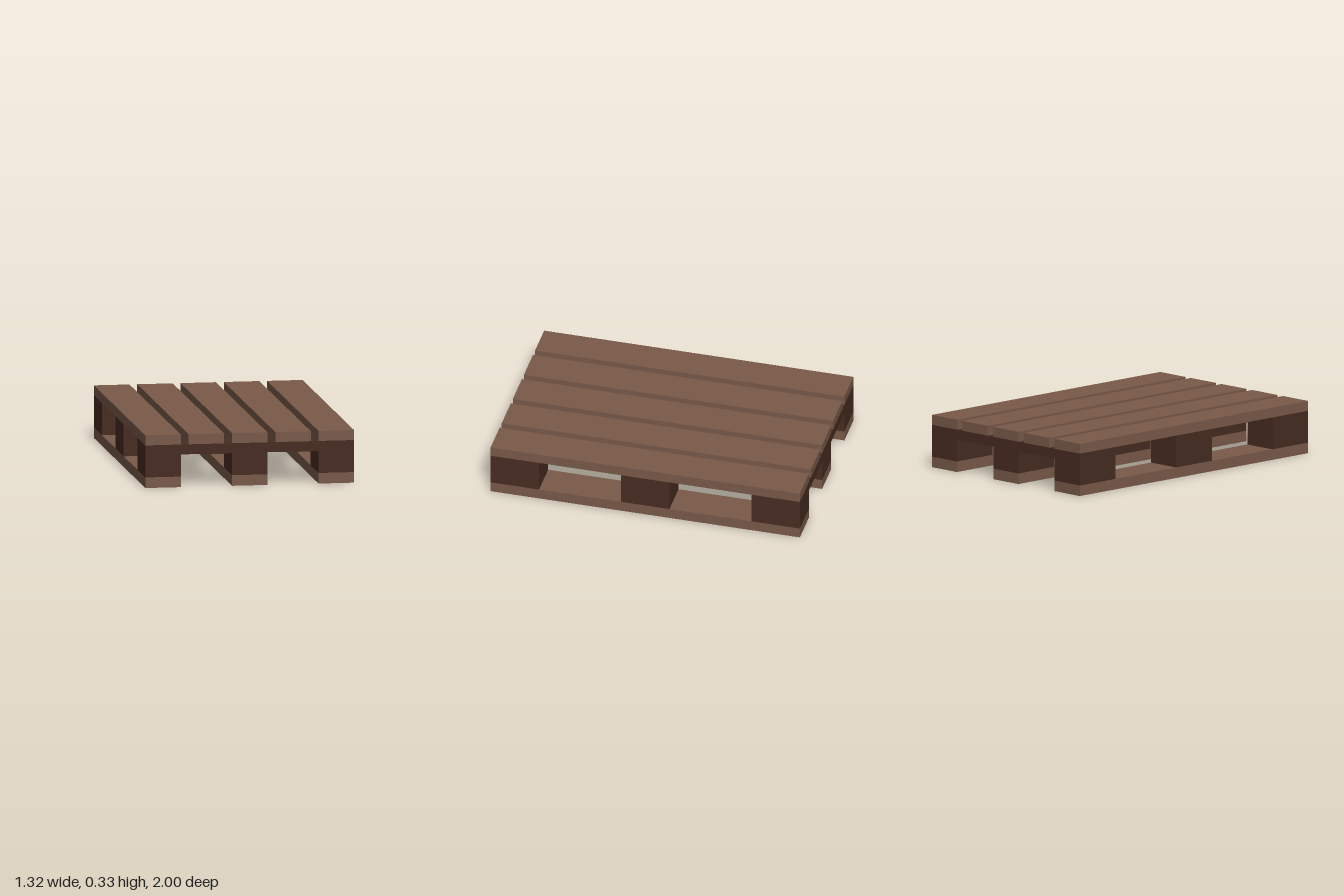
import * as THREE from 'three';

export function createModel() {
  const pallet = new THREE.Group();
  pallet.name = 'pallet';
  const plankWood = new THREE.MeshStandardMaterial({ color: 0x795a49 });
  const blockWood = new THREE.MeshStandardMaterial({ color: 0x472c21 });

  // Box resting on height y0, reaching up to y1
  function board(name, material, width, y0, y1, depth, x, z) {
    const mesh = new THREE.Mesh(new THREE.BoxGeometry(width, y1 - y0, depth), material);
    mesh.position.set(x, (y0 + y1) / 2, z);
    mesh.name = name;
    pallet.add(mesh);
  }

  const plankWidth = 0.225, blockDepth = 0.313;
  const rowsX = [-0.549, 0, 0.549];
  const rowsZ = [-1 + blockDepth / 2, 0, 1 - blockDepth / 2];

  // Deck planks running front to back
  for (let i = -2; i <= 2; i++) {
    board('deckPlank', plankWood, plankWidth, 0.27, 0.333, 2, i * 0.2745, 0);
  }

  // Cross boards under the deck
  for (const z of rowsZ) {
    board('crossBoard', blockWood, 1.323, 0.207, 0.27, blockDepth, 0, z);
  }

  // Bottom runners, each carrying three spacer blocks
  for (const x of rowsX) {
    board('bottomRunner', plankWood, plankWidth, 0, 0.067, 2, x, 0);
    for (const z of rowsZ) {
      board('spacerBlock', blockWood, plankWidth, 0.067, 0.207, blockDepth, x, z);
    }
  }

  return pallet;
}
